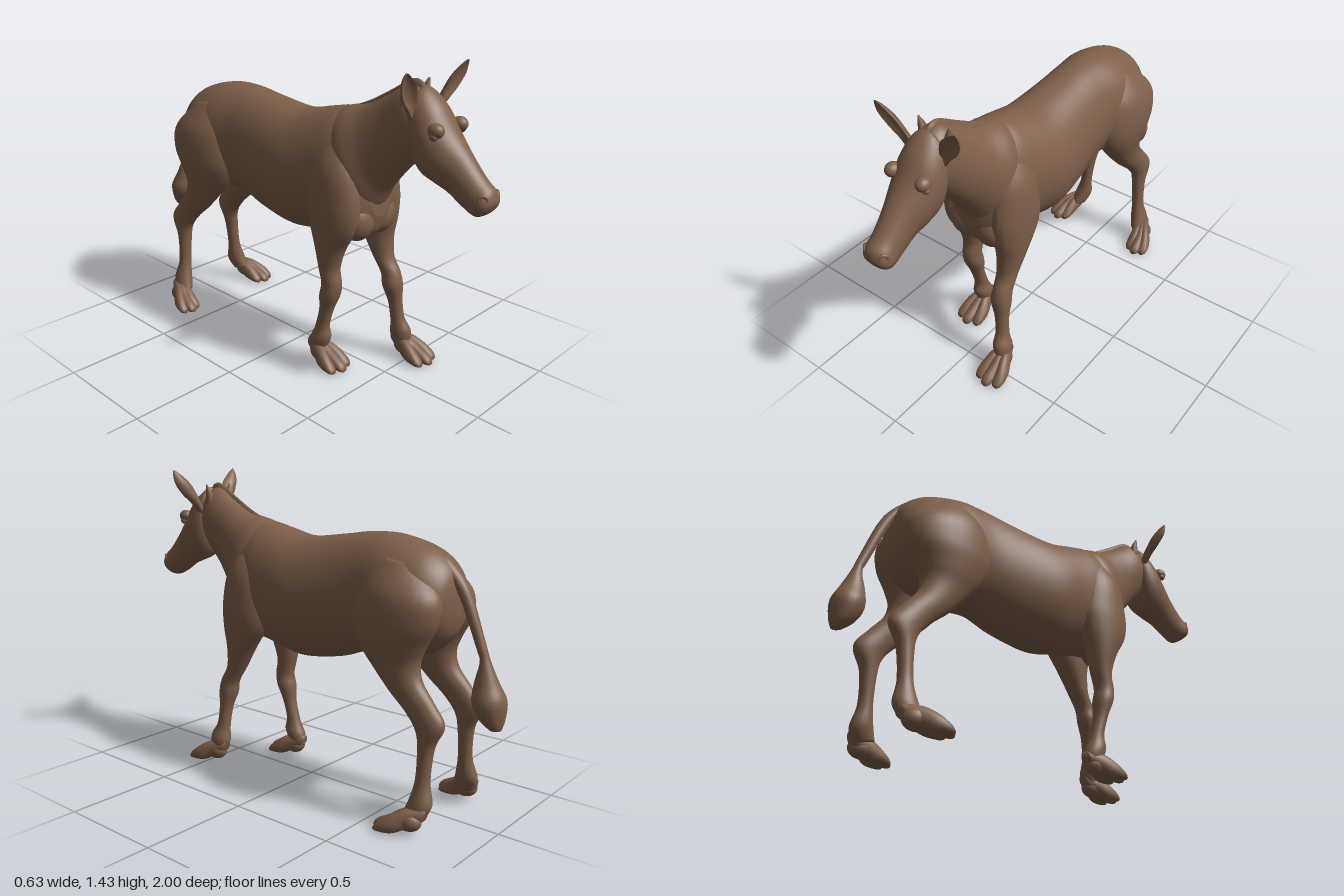
import * as THREE from 'three';

const hide = new THREE.MeshStandardMaterial({ color: 0x7e5f4a });
hide.name = 'brown hide';

// Smooth skin over elliptical sections. Each section is
// [centre x, z of edge a, y of edge a, z of edge b, y of edge b, half width in x].
function loft(name, sections, { sides = 28, steps = 6, cup = 0 } = {}) {
  const n = sections.length, rings = [];
  const at = i => sections[Math.max(0, Math.min(n - 1, i))];
  for (let i = 0; i < n - 1; i++) {
    for (let k = 0; k < steps; k++) {
      const t = k / steps;
      rings.push(at(i).map((p1, c) => {
        const p0 = at(i - 1)[c], p2 = at(i + 1)[c], p3 = at(i + 2)[c];
        return p1 + 0.5 * t * (p2 - p0 + t * (2 * p0 - 5 * p1 + 4 * p2 - p3 + t * (3 * (p1 - p2) + p3 - p0)));
      }));
    }
  }
  rings.push(at(n - 1));
  const pos = [], index = [];
  rings.forEach(([x, za, ya, zb, yb, hw]) => {
    for (let j = 0; j < sides; j++) {
      const a = (j / sides) * Math.PI * 2, c = Math.cos(a), s = Math.sin(a);
      pos.push(x + hw * c, (ya + yb) / 2 + s * (ya - yb) / 2, (za + zb) / 2 + s * (za - zb) / 2 + cup * hw * c * c);
    }
  });
  for (let i = 0; i < rings.length - 1; i++) {
    for (let j = 0; j < sides; j++) {
      const a = i * sides + j, b = i * sides + (j + 1) % sides;
      index.push(a, b, b + sides, a, b + sides, a + sides);
    }
  }
  // close both ends
  const last = (rings.length - 1) * sides, pole = rings.length * sides;
  for (const r of [rings[0], rings[rings.length - 1]]) pos.push(r[0], (r[2] + r[4]) / 2, (r[1] + r[3]) / 2);
  for (let j = 0; j < sides; j++) {
    const k = (j + 1) % sides;
    index.push(pole, k, j, pole + 1, last + j, last + k);
  }
  const g = new THREE.BufferGeometry();
  g.setAttribute('position', new THREE.Float32BufferAttribute(pos, 3));
  g.setIndex(index);
  g.computeVertexNormals();
  const mesh = new THREE.Mesh(g, hide);
  mesh.name = name;
  return mesh;
}

function ellipsoid(name, p, r) {
  const mesh = new THREE.Mesh(new THREE.SphereGeometry(1, 24, 16), hide);
  mesh.position.set(...p);
  mesh.scale.set(...r);
  mesh.name = name;
  return mesh;
}

// Three spread toes and a small heel pad, around a fetlock at (x, z)
function foot(name, x, z, drift, spread) {
  const g = new THREE.Group();
  g.name = name;
  for (const k of [-1, 0, 1]) {
    const reach = k ? 0 : 0.02, px = f => x + drift * f + k * spread * f;
    g.add(loft('toe', [
      [px(0.1), z - 0.05, 0.11, z - 0.04, 0.06, 0.02],
      [px(0.5), z + 0.03, 0.105, z + 0.01, 0.03, 0.028],
      [px(0.85), z + 0.085, 0.075, z + 0.06, 0.005, 0.03],
      [px(1), z + 0.125 + reach, 0.042, z + 0.12 + reach, 0, 0.026],
      [px(1.02), z + 0.143 + reach, 0.022, z + 0.143 + reach, 0.003, 0.014],
    ], { sides: 16, steps: 4 }));
  }
  g.add(ellipsoid('heelPad', [x + drift * 0.5, 0.055, z + 0.02], [0.045, 0.045, 0.06]));
  return g;
}

// Foreleg with shoulder; the model's right one stands further back
const foreleg = [
  [0.09, 0.34, 1.1, 0.22, 1.1, 0.04],
  [0.115, 0.40, 0.97, 0.175, 0.97, 0.085],
  [0.13, 0.43, 0.82, 0.155, 0.82, 0.085],
  [0.135, 0.425, 0.70, 0.17, 0.72, 0.078],
  [0.135, 0.405, 0.60, 0.25, 0.60, 0.065],
  [0.135, 0.41, 0.50, 0.31, 0.50, 0.05],
  [0.14, 0.447, 0.43, 0.357, 0.42, 0.045],
  [0.14, 0.463, 0.37, 0.37, 0.36, 0.049],
  [0.15, 0.46, 0.29, 0.395, 0.28, 0.035],
  [0.16, 0.47, 0.20, 0.405, 0.18, 0.032],
  [0.17, 0.50, 0.14, 0.40, 0.11, 0.043],
  [0.175, 0.50, 0.08, 0.42, 0.06, 0.036],
];
const hindLeg = [
  [0.09, -0.46, 1.12, -0.64, 1.09, 0.06],
  [0.122, -0.385, 0.99, -0.755, 0.97, 0.113],
  [0.138, -0.365, 0.84, -0.76, 0.86, 0.112],
  [0.14, -0.40, 0.74, -0.71, 0.76, 0.095],
  [0.14, -0.47, 0.65, -0.685, 0.69, 0.074],
  [0.145, -0.555, 0.56, -0.70, 0.62, 0.057],
  [0.15, -0.635, 0.49, -0.765, 0.54, 0.046],
  [0.155, -0.69, 0.42, -0.82, 0.46, 0.042],
  [0.16, -0.705, 0.34, -0.78, 0.36, 0.034],
  [0.17, -0.705, 0.22, -0.77, 0.22, 0.03],
  [0.185, -0.69, 0.14, -0.79, 0.12, 0.042],
  [0.20, -0.67, 0.08, -0.76, 0.06, 0.036],
];

export function createModel() {
  const model = new THREE.Group();
  model.name = 'hoofedAnimal';

  model.add(loft('torso', [
    [0, -0.775, 0.98, -0.775, 0.88, 0.04],
    [0, -0.75, 1.07, -0.75, 0.79, 0.12],
    [0, -0.66, 1.145, -0.66, 0.71, 0.185],
    [0, -0.5, 1.19, -0.5, 0.67, 0.205],
    [0, -0.35, 1.193, -0.35, 0.67, 0.185],
    [0, -0.2, 1.172, -0.2, 0.62, 0.195],
    [0, 0, 1.15, 0, 0.59, 0.215],
    [0, 0.15, 1.18, 0.15, 0.615, 0.198],
    [0, 0.26, 1.20, 0.26, 0.635, 0.185],
    [0, 0.35, 1.17, 0.37, 0.645, 0.165],
    [0, 0.41, 1.05, 0.425, 0.67, 0.125],
    [0, 0.44, 0.92, 0.45, 0.75, 0.06],
  ], { sides: 48 }));

  model.add(loft('neck', [
    [0, 0.12, 1.13, 0.34, 0.72, 0.13],
    [0, 0.25, 1.20, 0.43, 0.78, 0.165],
    [0, 0.37, 1.23, 0.485, 0.87, 0.13],
    [0, 0.47, 1.28, 0.56, 0.965, 0.105],
    [0, 0.58, 1.345, 0.63, 1.04, 0.096],
    [0, 0.65, 1.33, 0.67, 1.10, 0.08],
  ], { sides: 40 }));

  model.add(loft('mane', [
    [0, 0.27, 1.20, 0.29, 1.15, 0.008],
    [0, 0.38, 1.247, 0.40, 1.18, 0.013],
    [0, 0.48, 1.303, 0.50, 1.22, 0.014],
    [0, 0.58, 1.362, 0.60, 1.28, 0.016],
    [0, 0.625, 1.365, 0.64, 1.29, 0.014],
    [0, 0.65, 1.345, 0.65, 1.30, 0.006],
  ], { sides: 12 }));

  model.add(loft('head', [
    [0, 0.615, 1.27, 0.625, 1.13, 0.05],
    [0, 0.645, 1.345, 0.645, 1.045, 0.094],
    [0, 0.725, 1.292, 0.68, 0.995, 0.11],
    [0, 0.80, 1.19, 0.74, 0.97, 0.098],
    [0, 0.87, 1.11, 0.80, 0.945, 0.076],
    [0, 0.94, 1.035, 0.865, 0.905, 0.066],
    [0, 0.985, 0.995, 0.925, 0.88, 0.066],
    [0, 0.999, 0.96, 0.965, 0.895, 0.05],
    [0, 0.998, 0.94, 0.985, 0.915, 0.018],
  ], { sides: 40 }));

  model.add(loft('tail', [
    [0, -0.65, 1.08, -0.66, 1.135, 0.03],
    [0, -0.735, 1.03, -0.73, 1.10, 0.033],
    [0, -0.785, 0.95, -0.82, 0.99, 0.028],
    [0, -0.865, 0.76, -0.902, 0.78, 0.022],
    [0, -0.882, 0.71, -0.925, 0.715, 0.025],
    [0, -0.863, 0.62, -0.965, 0.63, 0.05],
    [0, -0.86, 0.545, -0.999, 0.56, 0.075],
    [0, -0.89, 0.485, -0.996, 0.48, 0.058],
    [0, -0.935, 0.445, -0.985, 0.44, 0.03],
  ]));

  for (const s of [1, -1]) {
    const side = s > 0 ? 'left' : 'right';
    const m = rows => rows.map(([x, ...rest]) => [x * s, ...rest]);

    const back = y => (s > 0 ? 0 : Math.max(0, 0.72 - y) * 0.38);
    const fore = foreleg.map(([x, za, ya, zb, yb, w]) =>
      [s > 0 ? x : -Math.min(x, 0.135), za - back(ya), ya, zb - back(yb), yb, w]);
    model.add(loft(side + 'Foreleg', fore));
    model.add(foot(side + 'ForeFoot', s > 0 ? 0.173 : -0.135, s > 0 ? 0.455 : 0.212, s > 0 ? 0.015 : 0, 0.047));
    model.add(loft(side + 'HindLeg', m(hindLeg)));
    model.add(foot(side + 'HindFoot', 0.2 * s, -0.73, 0.055 * s, 0.036));
    model.add(ellipsoid(side + 'Pectoral', [0.068 * s, 0.73, 0.375], [0.085, 0.095, 0.072]));

    // cupped leaf-shaped ear and the small point behind it
    model.add(loft(side + 'Ear', m([
      [0.075, 0.63, 1.22, 0.665, 1.22, 0.018],
      [0.098, 0.635, 1.265, 0.665, 1.265, 0.027],
      [0.13, 0.645, 1.315, 0.667, 1.315, 0.044],
      [0.158, 0.66, 1.365, 0.678, 1.365, 0.046],
      [0.182, 0.682, 1.405, 0.694, 1.405, 0.026],
      [0.196, 0.702, 1.428, 0.708, 1.428, 0.005],
    ]), { sides: 20, cup: 0.5 }));
    model.add(loft(side + 'EarPoint', m([
      [0.06, 0.575, 1.27, 0.625, 1.27, 0.024],
      [0.068, 0.585, 1.32, 0.62, 1.32, 0.015],
      [0.077, 0.605, 1.36, 0.612, 1.36, 0.003],
    ]), { sides: 12 }));

    // brow, eye and nostril rim
    model.add(ellipsoid(side + 'Brow', [0.078 * s, 1.2, 0.765], [0.03, 0.03, 0.035]));
    model.add(ellipsoid(side + 'Eye', [0.092 * s, 1.178, 0.765], [0.016, 0.016, 0.018]));
    const nostril = new THREE.Mesh(new THREE.TorusGeometry(0.016, 0.007, 10, 20), hide);
    nostril.name = side + 'Nostril';
    nostril.position.set(0.048 * s, 0.965, 0.972);
    nostril.rotation.y = 0.9 * s;
    model.add(nostril);
  }
  return model;
}
